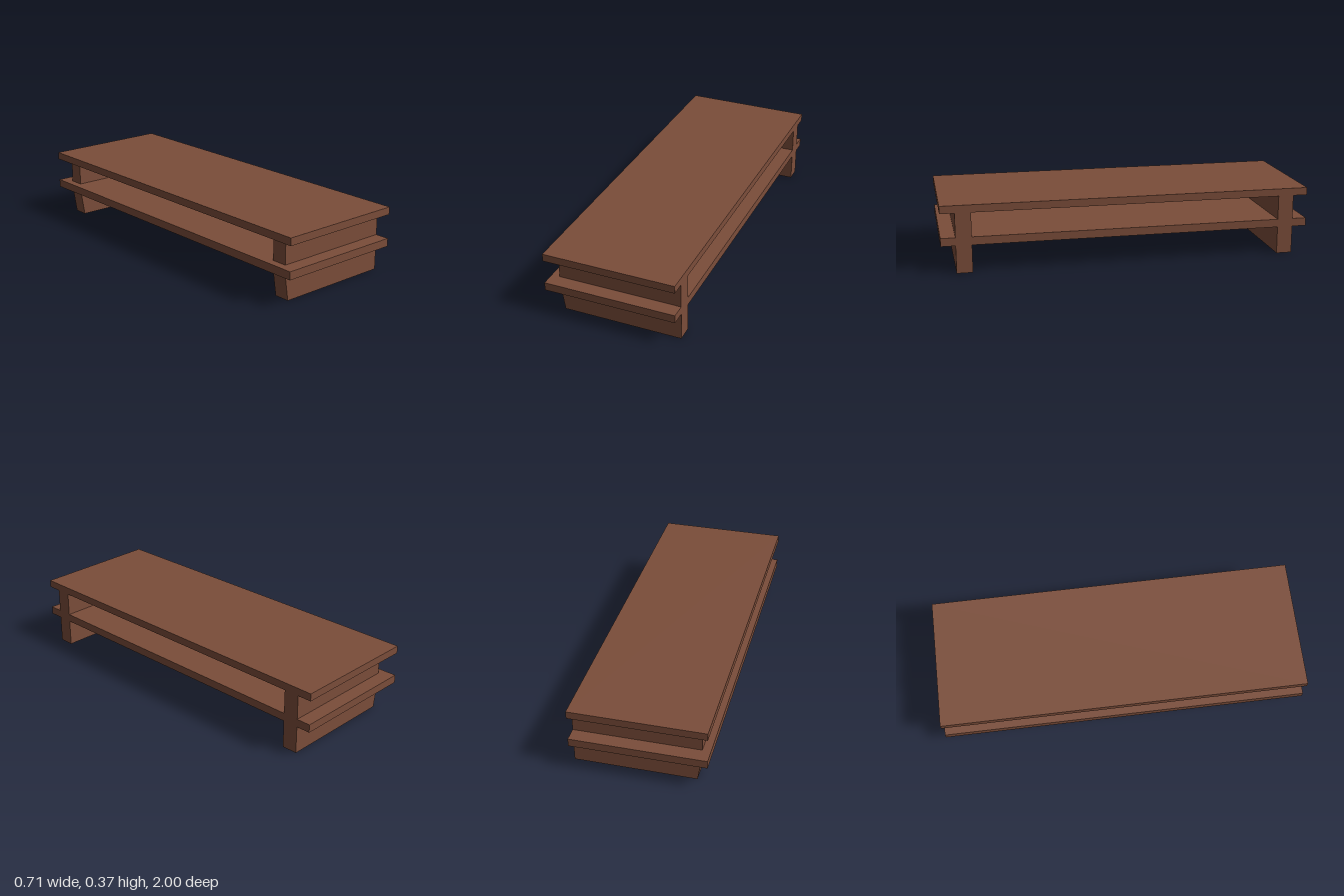
import * as THREE from 'three';

export function createModel() {
  const model = new THREE.Group();
  const wood = new THREE.MeshStandardMaterial({ color: 0x7b4d3a });
  wood.name = 'brown wood';

  const halfWidth = 0.357, legBack = -0.313, legFoot = -0.29;
  const legThickness = 0.085, legZ = 0.88;
  const shelfBottom = 0.15, shelfTop = 0.194, topBottom = 0.325, topTop = 0.366;

  // Full-length horizontal board between two heights
  function addBoard(name, y0, y1) {
    const board = new THREE.Mesh(new THREE.BoxGeometry(halfWidth * 2, y1 - y0, 2), wood);
    board.name = name;
    board.position.y = (y0 + y1) / 2;
    model.add(board);
  }

  // Upright panel, its outline drawn in x and y, centred on z
  function addPanel(name, points, z) {
    const shape = new THREE.Shape(points.map(([x, y]) => new THREE.Vector2(x, y)));
    const geometry = new THREE.ExtrudeGeometry(shape, { depth: legThickness, bevelEnabled: false });
    geometry.translate(0, 0, -legThickness / 2);
    const panel = new THREE.Mesh(geometry, wood);
    panel.name = name;
    panel.position.z = z;
    model.add(panel);
  }

  addBoard('tabletop', topBottom, topTop);
  addBoard('lowerShelf', shelfBottom, shelfTop);

  for (const [end, z] of [['front', legZ], ['back', -legZ]]) {
    // Tapered leg below the shelf
    addPanel(end + 'Leg', [
      [legFoot, 0], [halfWidth, 0], [halfWidth, shelfBottom], [legBack, shelfBottom],
    ], z);
    // Straight support between shelf and top
    addPanel(end + 'Support', [
      [legBack, shelfTop], [halfWidth, shelfTop], [halfWidth, topBottom], [legBack, topBottom],
    ], z);
  }

  return model;
}
